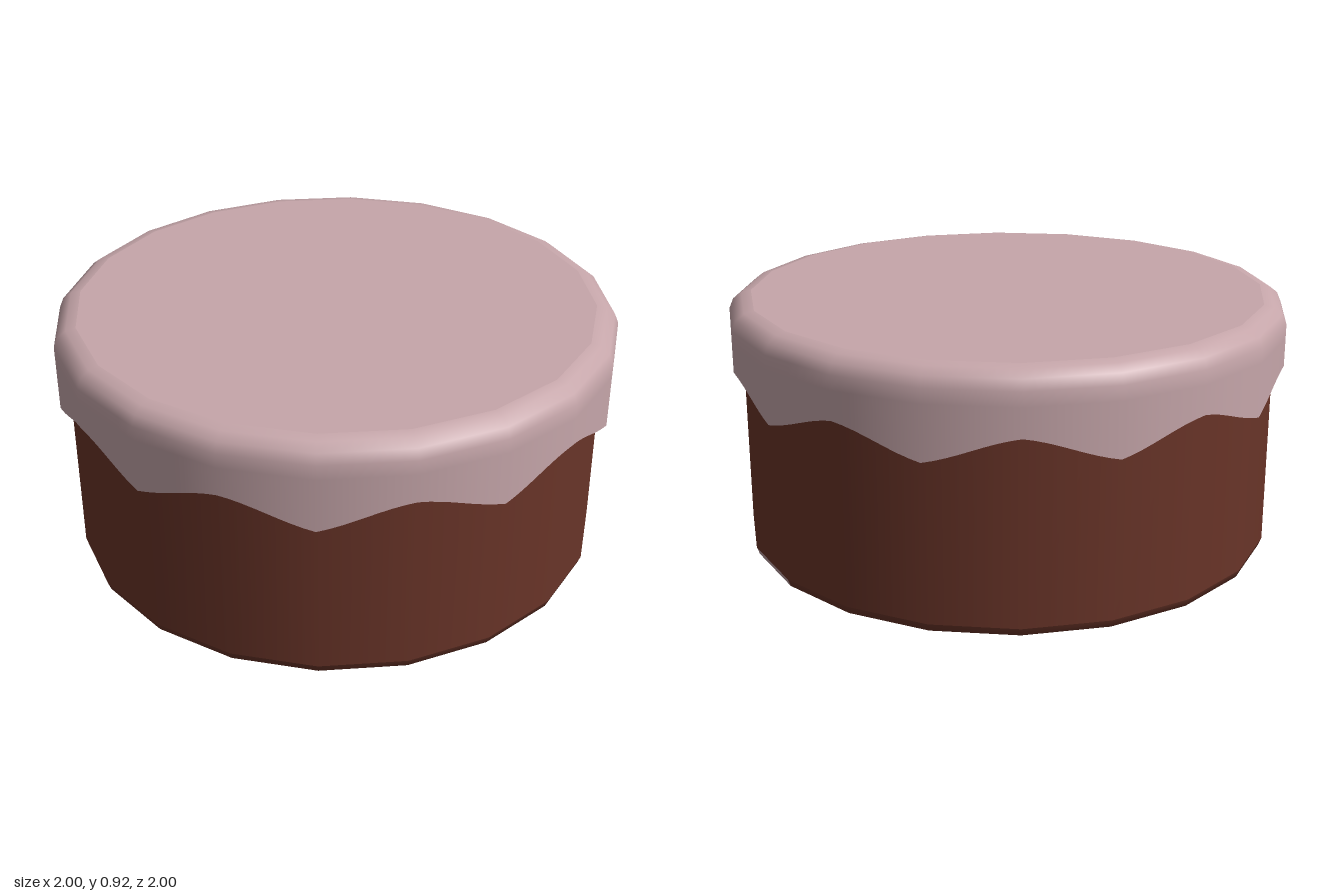
import * as THREE from 'three';

const SIDES = 20;

// Sweeps profile sections ([radius, height] from top outward and down) round a 20-sided
// polygon. Each section is smooth in itself; the joins between sections stay sharp.
function sweep(name, material, sections, split = 1, from = 0, to = SIDES) {
  const pos = [], nor = [], idx = [];
  const first = from * split, last = to * split;
  const corner = k => new THREE.Vector2(Math.sin(k * 2 * Math.PI / SIDES), Math.cos(k * 2 * Math.PI / SIDES));
  const count = sections(0).length;
  for (let s = 0; s < count; s++) {
    const base = pos.length / 3;
    let n = 0;
    for (let i = first; i <= last; i++) {
      const k = Math.floor(i / split), u = i / split;
      const p = corner(k).lerp(corner(k + 1), u - k); // point on the straight side
      const radial = corner(u);
      const pts = sections(u)[s];
      n = pts.length;
      pts.forEach(([r, y], j) => {
        const slope = new THREE.Vector2();
        for (const m of [j - 1, j]) {
          if (m < 0 || m + 1 >= n) continue;
          const dr = pts[m + 1][0] - pts[m][0], dy = pts[m + 1][1] - pts[m][1];
          slope.add(new THREE.Vector2(-dy, dr).normalize());
        }
        slope.normalize();
        pos.push(p.x * r, y, p.y * r);
        nor.push(radial.x * slope.x, slope.y, radial.y * slope.x);
      });
    }
    for (let i = 0; i < last - first; i++) {
      for (let j = 0; j < n - 1; j++) {
        const a = base + i * n + j, b = a + 1, c = a + n, d = c + 1;
        idx.push(a, b, c, b, d, c);
      }
    }
  }
  const geometry = new THREE.BufferGeometry();
  geometry.setAttribute('position', new THREE.Float32BufferAttribute(pos, 3));
  geometry.setAttribute('normal', new THREE.Float32BufferAttribute(nor, 3));
  geometry.setIndex(idx);
  const mesh = new THREE.Mesh(geometry, material);
  mesh.name = name;
  return mesh;
}

// Wavy lower edge: high on even corners, low on odd ones, gently rounded
function hem(u) {
  const t = 1 - Math.abs((((u % 2) + 2) % 2) - 1);
  const f = 0.6 * t + 0.4 * (0.5 - 0.5 * Math.cos(Math.PI * t));
  return 0.7 - 0.09 * f;
}

export function createModel() {
  const icing = new THREE.MeshStandardMaterial({ color: 0xc6a6aa });
  icing.name = 'pinkIcing';
  const sponge = new THREE.MeshStandardMaterial({ color: 0x693428 });
  sponge.name = 'chocolateSponge';

  const cake = new THREE.Group();
  cake.name = 'cake';

  // Sponge wall and flat ends
  cake.add(sweep('sponge', sponge, () => [
    [[0, 0.87], [0.96, 0.87]],
    [[0.96, 0.87], [0.96, 0.04]],
    [[0.925, 0], [0, 0]],
  ]));

  // Rounded bottom edge, with one side showing the icing colour
  const edge = () => [[[0.96, 0.04], [0.95, 0.013], [0.925, 0]]];
  cake.add(sweep('bottomEdge', sponge, edge, 1, 9, 28));
  cake.add(sweep('bottomEdgePatch', icing, edge, 1, 8, 9));

  // Icing cap, rounded shoulder, dripping skirt and its underside
  cake.add(sweep('icing', icing, u => [
    [[0, 0.915], [0.92, 0.915]],
    [[0.92, 0.915], [0.955, 0.908], [0.985, 0.885], [1, 0.85], [1, 0.8], [1, hem(u)]],
    [[1, hem(u)], [0.95, hem(u) + 0.005]],
  ], 8));

  return cake;
}
